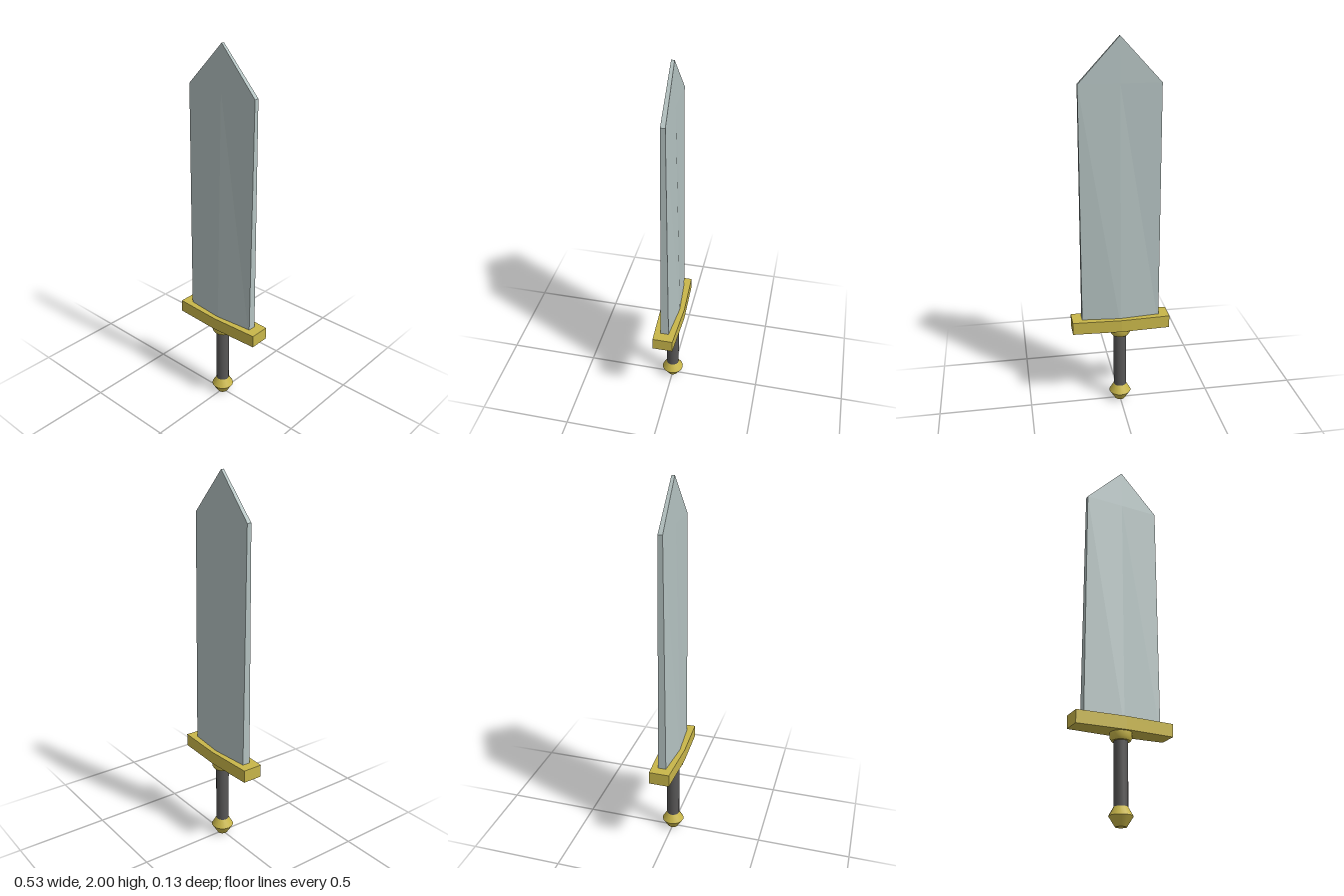
import * as THREE from 'three';
import { toCreasedNormals } from 'three/addons/utils/BufferGeometryUtils.js';

const mat = (name, color, flatShading = false) => {
  const m = new THREE.MeshStandardMaterial({ color, flatShading });
  m.name = name;
  return m;
};

// Six-sided cross-section: half width w, half thickness at the ends e and in the middle m
const ring = ({ y, w, e, m }) =>
  [[w, e], [0, m], [-w, e], [-w, -e], [0, -m], [w, -e]].map(([x, z]) => new THREE.Vector3(x, y, z));

// Skins stacked cross-sections and caps both ends
function loft(sections) {
  const rings = sections.map(ring);
  const pos = [];
  const tri = (a, b, c) => {
    const area = b.clone().sub(a).cross(c.clone().sub(a)).length();
    if (area > 1e-9) pos.push(...a.toArray(), ...b.toArray(), ...c.toArray());
  };
  for (let k = 0; k < rings.length - 1; k++) {
    const lo = rings[k], hi = rings[k + 1];
    for (let i = 0; i < 6; i++) {
      const j = (i + 1) % 6;
      tri(lo[i], hi[j], lo[j]);
      tri(lo[i], hi[i], hi[j]);
    }
  }
  const bottom = rings[0], top = rings[rings.length - 1];
  for (let i = 1; i < 5; i++) {
    tri(bottom[0], bottom[i], bottom[i + 1]);
    tri(top[0], top[i + 1], top[i]);
  }
  const g = new THREE.BufferGeometry();
  g.setAttribute('position', new THREE.Float32BufferAttribute(pos, 3));
  g.computeVertexNormals();
  return g;
}

const lathe = (points, crease) =>
  toCreasedNormals(new THREE.LatheGeometry(points.map(([r, y]) => new THREE.Vector2(r, y)), 16), crease);

export function createModel() {
  const group = new THREE.Group();
  const steel = mat('steel', 0xb4c2c1);
  const gold = mat('gold', 0xc8b64a);
  const leather = mat('dark leather', 0x585757);
  const add = (name, geometry, material) => {
    const mesh = new THREE.Mesh(geometry, material);
    mesh.name = name;
    group.add(mesh);
  };

  // Tapering blade, ending in a thin point
  add('blade', loft([
    { y: 0.46, w: 0.209, e: 0.022, m: 0.041 },
    { y: 1.775, w: 0.209, e: 0.012, m: 0.013 },
    { y: 2, w: 0, e: 0.008, m: 0.008 },
  ]), steel);

  // Crossguard, thicker in the middle
  add('crossguard', loft([
    { y: 0.452, w: 0.263, e: 0.054, m: 0.066 },
    { y: 0.52, w: 0.263, e: 0.054, m: 0.066 },
  ]), gold);

  // Collar under the guard
  add('collar', lathe([[0, 0.41], [0.047, 0.41], [0.056, 0.425], [0.056, 0.455], [0, 0.455]], 1), gold);

  // Grip
  add('grip', lathe([[0, 0.08], [0.035, 0.08], [0.035, 0.415], [0, 0.415]], 1), leather);

  // Pommel
  add('pommel', lathe([[0, 0], [0.028, 0], [0.06, 0.05], [0.034, 0.095], [0, 0.095]], 1), gold);

  return group;
}
